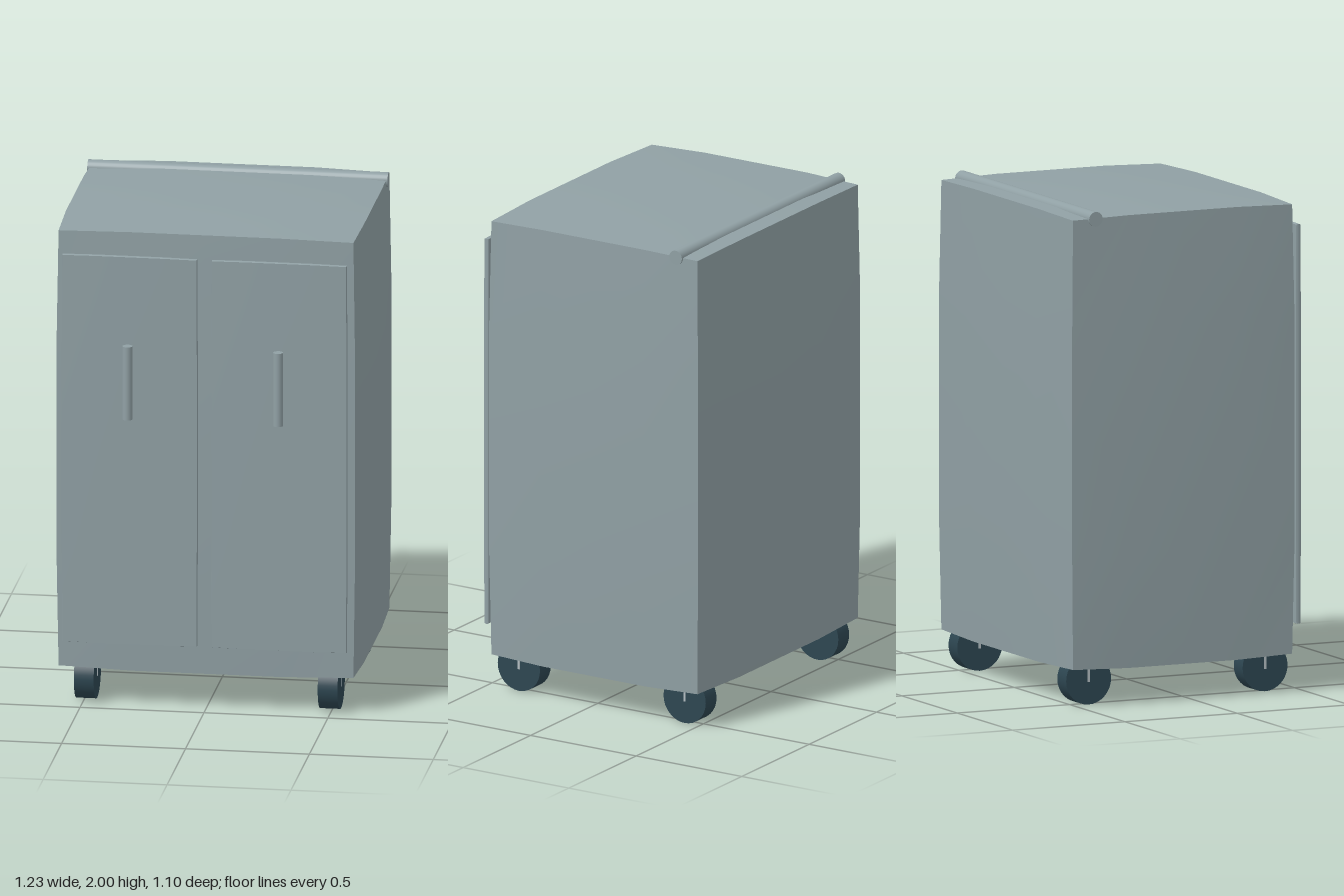
import * as THREE from 'three';

const steel = new THREE.MeshStandardMaterial({ color: 0x90a0a4 });
steel.name = 'greySteel';
const rubber = new THREE.MeshStandardMaterial({ color: 0x2d4651 });
rubber.name = 'darkRubber';
const metal = new THREE.MeshStandardMaterial({ color: 0xb4bec2 });
metal.name = 'paleMetal';

// Box whose edges swell a little and whose faces swell more; corners stay put.
function swollenBox(size, swell) {
  const geo = new THREE.BoxGeometry(...size, 4, 4, 4);
  const pos = geo.attributes.position;
  for (let i = 0; i < pos.count; i++) {
    const p = [pos.getX(i), pos.getY(i), pos.getZ(i)];
    const outer = p.map((v, a) => Math.abs(v) > size[a] / 2 - 1e-4);
    const inner = outer.filter((o) => !o).length;
    const q = p.map((v, a) => (outer[a] ? v + Math.sign(v) * swell[inner] : v));
    pos.setXYZ(i, ...q);
  }
  geo.computeVertexNormals();
  return geo;
}

export function createModel() {
  const model = new THREE.Group();
  model.name = 'rollingCabinet';

  const add = (name, geo, mat, x, y, z) => {
    const mesh = new THREE.Mesh(geo, mat);
    mesh.name = name;
    mesh.position.set(x, y, z);
    model.add(mesh);
    return mesh;
  };

  // Cabinet body
  add('body', swollenBox([1.19, 1.815, 0.975], [0, 0.007, 0.02]), steel, 0, 1.062, -0.044);

  // Push rail across the back of the top
  add('pushRail', new THREE.CylinderGeometry(0.03, 0.03, 1.212, 24), steel, 0, 1.97, -0.435)
    .rotation.z = Math.PI / 2;

  // Doors and upright handles
  const doorGeo = swollenBox([0.54, 1.61, 0.018], [0, 0.002, 0.004]);
  const handleGeo = new THREE.CylinderGeometry(0.02, 0.02, 0.305, 24);
  // Wheels and their thin axle stems
  const wheelGeo = new THREE.CylinderGeometry(0.1, 0.1, 0.08, 32).rotateZ(Math.PI / 2);
  const stemGeo = new THREE.BoxGeometry(0.083, 0.065, 0.01);

  for (const [side, s] of [['left', 1], ['right', -1]]) {
    add(side + 'Door', doorGeo, steel, s * 0.302, 1.077, 0.482);
    add(side + 'Handle', handleGeo, steel, s * 0.304, 1.373, 0.531);
    for (const [end, z] of [['Front', 0.354], ['Back', -0.431]]) {
      add(side + end + 'Wheel', wheelGeo, rubber, s * 0.492, 0.1, z);
      add(side + end + 'Stem', stemGeo, metal, s * 0.492, 0.123, z);
    }
  }
  return model;
}
